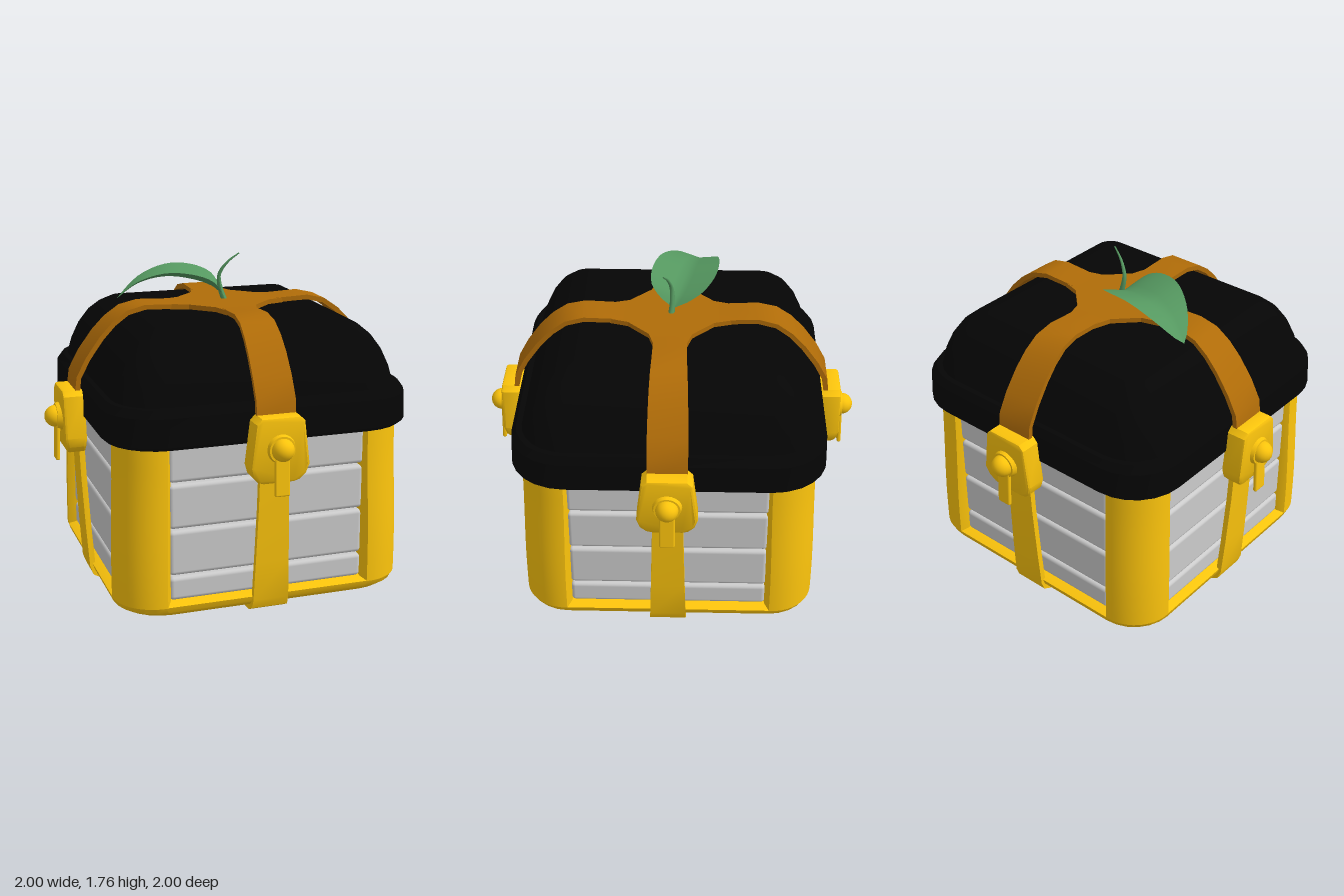
import * as THREE from 'three';
import { toCreasedNormals } from 'three/addons/utils/BufferGeometryUtils.js';
import { RoundedBoxGeometry } from 'three/addons/geometries/RoundedBoxGeometry.js';

const mat = (color, side = THREE.FrontSide) => new THREE.MeshStandardMaterial({ color, side });
const gold = mat(0xfcc40c), black = mat(0x050505), brown = mat(0xb06c08);
const grey = mat(0xcccccc), green = mat(0x559860, THREE.DoubleSide);

function add(parent, name, geometry, material) {
  const mesh = new THREE.Mesh(geometry, material);
  mesh.name = name;
  parent.add(mesh);
  return mesh;
}

// Capped stack of rounded squares; each level is [halfWidth, cornerRadius, y].
function loftSquares(levels, arc = 6) {
  const pos = [], index = [], n = 4 * (arc + 1);
  for (const [h, r, y] of levels) {
    for (let q = 0; q < 4; q++) {
      const mid = (q + 0.5) * Math.PI / 2, c = (h - r) * Math.SQRT2;
      for (let k = 0; k <= arc; k++) {
        const a = (q + k / arc) * Math.PI / 2;
        pos.push(Math.cos(mid) * c + Math.cos(a) * r, y, Math.sin(mid) * c + Math.sin(a) * r);
      }
    }
  }
  const last = levels.length - 1, low = levels.length * n, high = low + 1;
  pos.push(0, levels[0][2], 0, 0, levels[last][2], 0);
  for (let j = 0; j < n; j++) {
    const k = (j + 1) % n;
    for (let i = 0; i < last; i++) {
      const a = i * n + j, b = i * n + k;
      index.push(a, a + n, b, b, a + n, b + n);
    }
    index.push(low, j, k, high, last * n + k, last * n + j);
  }
  const g = new THREE.BufferGeometry();
  g.setAttribute('position', new THREE.Float32BufferAttribute(pos, 3));
  g.setIndex(index);
  return toCreasedNormals(g, 0.55);
}

// Moves every vertex by a rule.
function warp(g, rule) {
  const p = g.attributes.position, v = new THREE.Vector3();
  for (let i = 0; i < p.count; i++) {
    rule(v.fromBufferAttribute(p, i));
    p.setXYZ(i, v.x, v.y, v.z);
  }
  g.computeVertexNormals();
  return g;
}

// Band along a (z, y) path; halfWidth is a function of z and y.
function band(points, thickness, halfWidth) {
  const path = points.map(p => new THREE.Vector2(...p));
  const inner = path.map((p, i) => {
    const t = path[Math.min(i + 1, path.length - 1)].clone().sub(path[Math.max(i - 1, 0)]).normalize();
    return new THREE.Vector2(p.x + t.y * thickness, p.y - t.x * thickness);
  });
  const g = new THREE.ExtrudeGeometry(new THREE.Shape([...path, ...inner.reverse()]), { depth: 2, bevelEnabled: false });
  g.translate(0, 0, -1).rotateY(-Math.PI / 2);
  return toCreasedNormals(warp(g, v => { v.x *= halfWidth(v.z, v.y); }), 0.55);
}

// Corner post with bevelled inner edges, leaning out slightly towards the base
function cornerPost() {
  const section = new THREE.Shape();
  section.moveTo(0.505, 0.69).lineTo(0.51, 0.725).lineTo(0.535, 0.765);
  section.absarc(0.545, 0.545, 0.22, Math.PI / 2, 0, true);
  section.lineTo(0.765, 0.535).lineTo(0.725, 0.51).lineTo(0.69, 0.505);
  const g = new THREE.ExtrudeGeometry(section, { depth: 0.85, bevelEnabled: false, curveSegments: 6, steps: 8 });
  g.rotateX(-Math.PI / 2).translate(0, 0.095, 0);
  return toCreasedNormals(warp(g, v => {
    const s = 1 + 0.024 * (1 - THREE.MathUtils.smoothstep(v.y, 0.2, 0.95));
    v.x *= s;
    v.z *= s;
  }), 0.5);
}

function latchPlate() {
  const half = [[0.095, 1.075], [0.115, 1.055], [0.141, 0.84], [0.128, 0.795], [0.1, 0.765], [0.075, 0.757]];
  const outline = [...half, ...half.map(([x, y]) => [-x, y]).reverse()].map(p => new THREE.Vector2(...p));
  const g = new THREE.ExtrudeGeometry(new THREE.Shape(outline), {
    depth: 0.09, bevelSize: 0.014, bevelThickness: 0.014, bevelSegments: 2,
  });
  g.translate(0, 0, 0.817);
  // the lower front edge slopes back
  return toCreasedNormals(warp(g, v => { if (v.z > 0.87 && v.y < 0.83) v.z -= (0.83 - v.y) * 0.25; }), 0.6);
}

function leafBlade() {
  const rib = new THREE.CatmullRomCurve3([
    [0, 1.53, -0.01], [-0.05, 1.575, -0.03], [-0.16, 1.615, -0.065],
    [-0.3, 1.63, -0.1], [-0.44, 1.592, -0.14], [-0.55, 1.51, -0.17],
  ].map(p => new THREE.Vector3(...p)));
  const g = new THREE.PlaneGeometry(1, 2, 20, 8);
  // blade folds up from the midrib, opening flatter towards the tip
  return warp(g, v => {
    const u = v.x + 0.5, s = v.y;
    const w = 0.175 * Math.pow(Math.max(0, Math.sin(Math.PI * Math.pow(u, 0.8))), 0.75);
    const p = rib.getPoint(u);
    v.set(p.x - 0.27 * s * w, p.y + 0.38 * (1 - 0.5 * u) * Math.abs(s) * w, p.z + 0.96 * s * w);
  });
}

function leafStem() {
  const curve = new THREE.CatmullRomCurve3([
    [0.01, 1.5, 0], [-0.01, 1.56, -0.005], [-0.02, 1.64, 0], [0.02, 1.71, 0.02], [0.08, 1.76, 0.04],
  ].map(p => new THREE.Vector3(...p)));
  const rings = 16, sides = 8;
  const g = new THREE.TubeGeometry(curve, rings, 0.017, sides);
  let i = 0;
  // taper each ring towards the tip
  return warp(g, v => {
    const u = Math.floor(i++ / (sides + 1)) / rings, c = curve.getPointAt(u);
    v.sub(c).multiplyScalar(1 - 0.8 * u).add(c);
  });
}

export function createModel() {
  const model = new THREE.Group();
  model.name = 'chest';

  // Body: base pan, top rail and inner core
  add(model, 'basePan', loftSquares([
    [0.58, 0.2, 0.01], [0.68, 0.22, 0.018], [0.745, 0.23, 0.04], [0.773, 0.23, 0.065], [0.783, 0.226, 0.097], [0.715, 0.19, 0.127],
  ]), gold);
  add(model, 'topRail', loftSquares([[0.735, 0.19, 0.918], [0.76, 0.21, 0.93], [0.76, 0.21, 0.95]]), gold);
  add(model, 'core', new THREE.BoxGeometry(1.38, 0.84, 1.38).translate(0, 0.52, 0), grey);

  // Lid with a chamfered rim and a dome whose corners sharpen towards the top
  add(model, 'lid', loftSquares([
    [0.797, 0.27, 0.935], [0.817, 0.28, 0.955], [0.812, 0.28, 1.1], [0.785, 0.26, 1.14], [0.757, 0.24, 1.14],
    [0.73, 0.2, 1.22], [0.688, 0.16, 1.31], [0.635, 0.12, 1.385], [0.575, 0.085, 1.437], [0.51, 0.055, 1.472], [0.42, 0.04, 1.482],
  ]), black);

  const post = cornerPost();
  const bodyStrap = band(
    [[0.835, 0.8], [0.828, 0.6], [0.812, 0.3], [0.797, 0.08], [0.778, 0.03], [0.73, 0.004], [0.65, 0], [0, 0]].reverse(),
    -0.03, (z, y) => 0.098 - 0.02 * Math.min(1, y / 0.7));
  const lidStrap = band(
    [[0, 1.508], [0.2, 1.508], [0.35, 1.514], [0.46, 1.518], [0.56, 1.494], [0.64, 1.438], [0.71, 1.365], [0.785, 1.262], [0.84, 1.16], [0.853, 1.06]],
    0.026, z => 0.085 + 0.018 * THREE.MathUtils.smoothstep(z, 0.3, 0.85));
  const plate = latchPlate();
  const planks = [[0.115, 0.24], [0.25, 0.49], [0.5, 0.735], [0.745, 0.95]];

  // The four sides repeat around the vertical axis
  ['front', 'left', 'back', 'right'].forEach((sideName, k) => {
    const side = new THREE.Group();
    side.name = sideName + 'Side';
    side.rotation.y = k * Math.PI / 2;
    model.add(side);

    add(side, 'cornerPost', post, gold);
    for (const [y0, y1] of planks) {
      add(side, 'plank', new RoundedBoxGeometry(1.05, y1 - y0, 0.11, 2, 0.022), grey)
        .position.set(0, (y0 + y1) / 2, 0.69);
    }
    add(side, 'bodyStrap', bodyStrap, gold);
    add(side, 'lidStrap', lidStrap, brown);

    // Latch: plate, collar, knob and hanging tab
    const latch = new THREE.Group();
    latch.name = 'latch';
    side.add(latch);
    add(latch, 'latchPlate', plate, gold);
    add(latch, 'collar', new THREE.CylinderGeometry(0.068, 0.078, 0.03, 20).rotateX(Math.PI / 2), gold)
      .position.set(0, 0.93, 0.925);
    add(latch, 'knob', new THREE.SphereGeometry(0.058, 20, 14), gold).position.set(0, 0.93, 0.942);
    const tab = add(latch, 'tab', new RoundedBoxGeometry(0.08, 0.2, 0.022, 2, 0.009), gold);
    tab.position.set(0, 0.79, 0.937);
    tab.rotation.x = -0.04;
  });

  // Flared joint where the lid straps cross
  const joint = [];
  for (let k = 0; k < 4; k++) {
    for (const [x, y] of [[0.32, -0.084], [0.32, 0.084], [0.225, 0.112], [0.112, 0.225]]) {
      joint.push(new THREE.Vector2(x, y).rotateAround(new THREE.Vector2(), k * Math.PI / 2));
    }
  }
  add(model, 'strapJoint', new THREE.ExtrudeGeometry(new THREE.Shape(joint), { depth: 0.026, bevelEnabled: false })
    .rotateX(-Math.PI / 2).translate(0, 1.484, 0), brown);

  // Leaf sprig on top
  add(model, 'leaf', leafBlade(), green);
  add(model, 'stem', leafStem(), green);
  return model;
}
